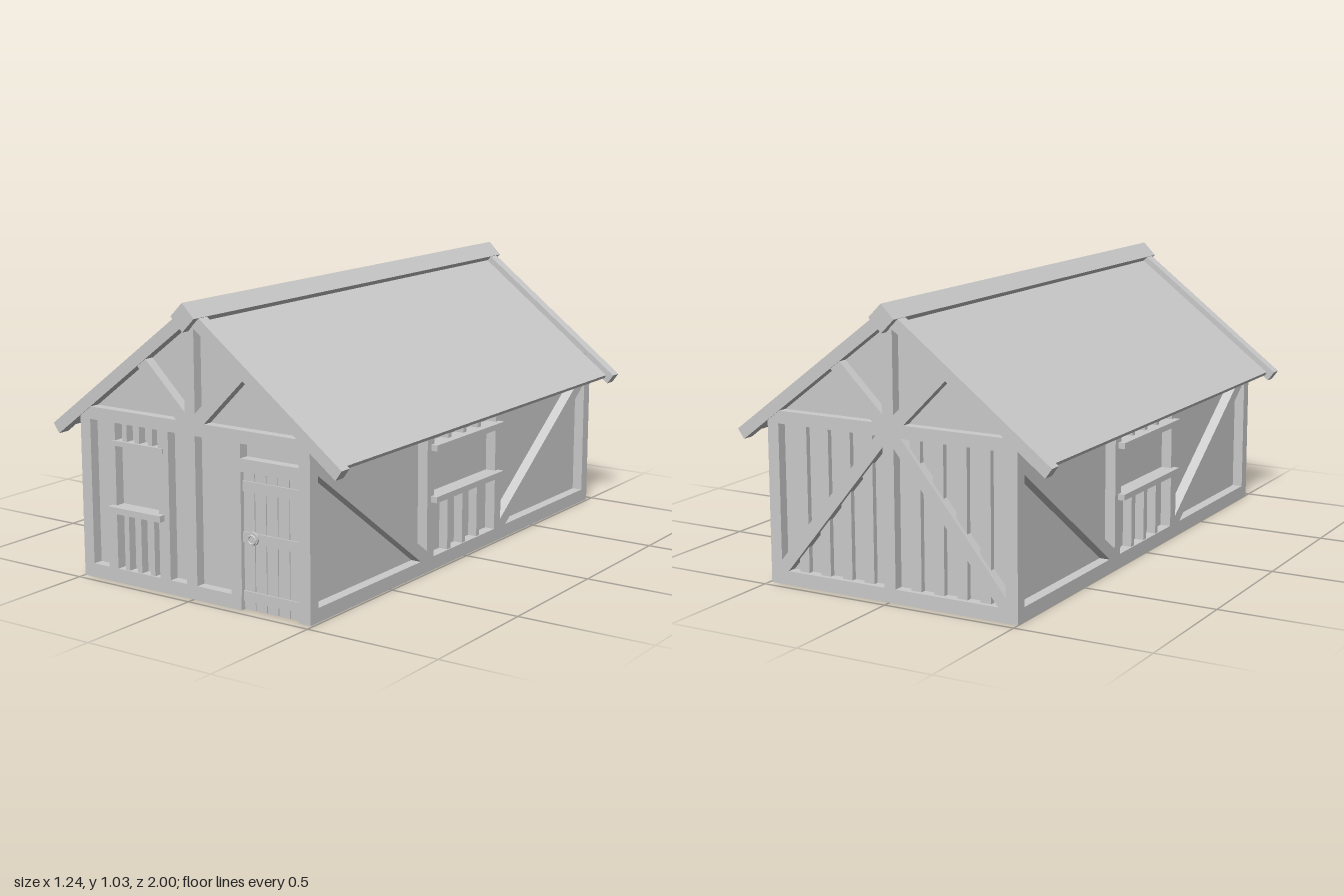
import * as THREE from 'three';

const mat = new THREE.MeshStandardMaterial({ color: 0xcccccc, flatShading: true });
const HALF_W = 0.495, HALF_L = 0.97, POST = 0.045;

function add(parent, name, geo) {
  const m = new THREE.Mesh(geo, mat);
  m.name = name;
  parent.add(m);
  return m;
}

// Box from its limits
function box(parent, name, x0, x1, y0, y1, z0, z1) {
  const m = add(parent, name, new THREE.BoxGeometry(x1 - x0, y1 - y0, z1 - z0));
  m.position.set((x0 + x1) / 2, (y0 + y1) / 2, (z0 + z1) / 2);
  return m;
}

// Outline in the xy plane, extruded from z0 to z1; side = -1 mirrors it in x
function slab(parent, name, pts, z0, z1, side = 1) {
  const shape = new THREE.Shape(pts.map(([x, y]) => new THREE.Vector2(x * side, y)));
  const geo = new THREE.ExtrudeGeometry(shape, { depth: z1 - z0, bevelEnabled: false });
  geo.translate(0, 0, z0);
  return add(parent, name, geo);
}

function wall(parent, name, angle) {
  const g = new THREE.Group();
  g.name = name;
  g.rotation.y = angle;
  parent.add(g);
  return g;
}

const Z0 = 0.925, Z1 = HALF_L; // depth range of the end-wall timbers

// Timbers shared by both ends: tie beam, king post, gable struts, corner posts
function gableFrame(g) {
  box(g, 'tieBeam', -HALF_W, HALF_W, 0.575, 0.62, Z0, Z1);
  box(g, 'kingPost', -0.022, 0.022, 0.62, 0.95, Z0, Z1);
  for (const s of [-1, 1]) {
    slab(g, 'gableStrut', [[0.02, 0.62], [0.06, 0.62], [0.23, 0.79], [0.195, 0.82], [0.02, 0.65]], Z0, Z1, s);
    box(g, 'cornerPost', s * 0.4725 - 0.0225, s * 0.4725 + 0.0225, 0, 0.575, Z0, Z1);
  }
}

function frontWall(root) {
  const g = wall(root, 'frontWall', 0);
  gableFrame(g);
  box(g, 'sillBeam', -0.45, 0.21, 0, 0.05, Z0, Z1);
  for (const [a, b] of [[-0.38, -0.337], [-0.145, -0.098], [-0.026, 0.02], [0.168, 0.212]])
    box(g, 'post', a, b, 0.05, 0.575, Z0, Z1);

  // Window with slats above and below
  box(g, 'windowSill', -0.355, -0.12, 0.257, 0.28, Z0, 0.995);
  box(g, 'windowHead', -0.355, -0.12, 0.495, 0.513, Z0, 0.975);
  for (const x of [-0.297, -0.241, -0.182]) {
    box(g, 'lowerSlat', x - 0.01, x + 0.01, 0.02, 0.257, Z0, Z1 - 0.005);
    box(g, 'upperSlat', x - 0.01, x + 0.01, 0.513, 0.575, Z0, Z1 - 0.005);
  }

  // Plank door under a lintel
  box(g, 'lintel', 0.21, 0.45, 0.48, 0.525, Z0, Z1);
  const w = 0.238 / 5;
  for (let i = 0; i < 5; i++) {
    const x = 0.212 + i * w;
    box(g, 'doorPlank', x + 0.0015, x + w - 0.0015, 0.003, 0.48, Z0, 0.955);
  }
  for (const y of [0.05, 0.255, 0.43]) box(g, 'doorBatten', 0.212, 0.45, y - 0.018, y + 0.018, Z0, 0.96);
  const plate = add(g, 'handlePlate', new THREE.CylinderGeometry(0.024, 0.024, 0.008, 20).rotateX(Math.PI / 2));
  plate.position.set(0.255, 0.255, 0.963);
  const ring = add(g, 'handleRing', new THREE.TorusGeometry(0.015, 0.004, 6, 20));
  ring.position.set(0.255, 0.252, 0.969);
}

function backWall(root) {
  const g = wall(root, 'backWall', Math.PI);
  gableFrame(g);
  box(g, 'sillBeam', -0.45, 0.45, 0, 0.05, Z0, Z1);
  box(g, 'centrePost', -0.022, 0.022, 0.05, 0.575, Z0, Z1);
  for (const s of [-1, 1]) {
    slab(g, 'wallBrace',
      [[0.02, 0.54], [0.02, 0.575], [0.05, 0.575], [0.45, 0.087], [0.45, 0.05], [0.422, 0.05]], Z0, Z1, s);
    // Vertical boards behind the braces
    for (let i = 0; i < 4; i++) {
      const x = s * (0.095 + i * 0.09);
      box(g, 'board', x - 0.02, x + 0.02, 0.05, 0.575, Z0, 0.953);
    }
  }
}

function sideWall(root, name, angle) {
  const g = wall(root, name, angle);
  const d0 = 0.445, d1 = HALF_W;
  box(g, 'sillBeam', -Z0, Z0, 0, 0.05, d0, d1);
  box(g, 'wallPlate', -Z0, Z0, 0.53, 0.58, d0, d1);
  for (const s of [-1, 1]) {
    box(g, 'windowPost', s * 0.238 - 0.0225, s * 0.238 + 0.0225, 0.05, 0.53, d0, d1);
    slab(g, 'brace',
      [[0.93, 0.5], [0.3, 0.05], [0.26, 0.05], [0.26, 0.08], [0.9, 0.53], [0.93, 0.53]], d0, d1, s);
  }
  // Window rails and slats
  for (const y of [0.266, 0.455]) box(g, 'windowRail', -0.237, 0.237, y - 0.011, y + 0.011, d0, 0.52);
  for (const x of [-0.103, 0, 0.103]) {
    box(g, 'lowerSlat', x - 0.011, x + 0.011, 0.02, 0.266, d0, d1 - 0.005);
    box(g, 'upperSlat', x - 0.011, x + 0.011, 0.455, 0.53, d0, d1 - 0.005);
  }
}

function roof(root) {
  const g = new THREE.Group();
  g.name = 'roof';
  root.add(g);
  for (const s of [-1, 1]) {
    slab(g, 'roofPanel', [[0, 0.985], [0.59, 0.538], [0.585, 0.526], [0, 0.968]], -0.93, 0.93, s);
    for (const z of [-0.973, 0.928])
      slab(g, 'bargeBoard', [[0, 1.013], [0.622, 0.54], [0.597, 0.505], [0, 0.959]], z, z + POST, s);
  }
  // Square ridge beam set on its corner
  const ridge = add(g, 'ridgeBeam', new THREE.BoxGeometry(0.07, 0.07, 2));
  ridge.rotation.z = Math.PI / 4;
  ridge.position.y = 0.978;
}

export function createModel() {
  const root = new THREE.Group();
  root.name = 'timberHouse';
  const house = new THREE.Group();
  house.name = 'house';
  house.position.x = -0.004;
  root.add(house);

  // Solid recessed infill behind the timbers
  slab(house, 'infill', [[-0.455, 0.002], [0.455, 0.002], [0.455, 0.612], [0, 0.959], [-0.455, 0.612]], -0.933, 0.933);
  frontWall(house);
  backWall(house);
  sideWall(house, 'leftWall', Math.PI / 2);
  sideWall(house, 'rightWall', -Math.PI / 2);
  roof(house);
  return root;
}
